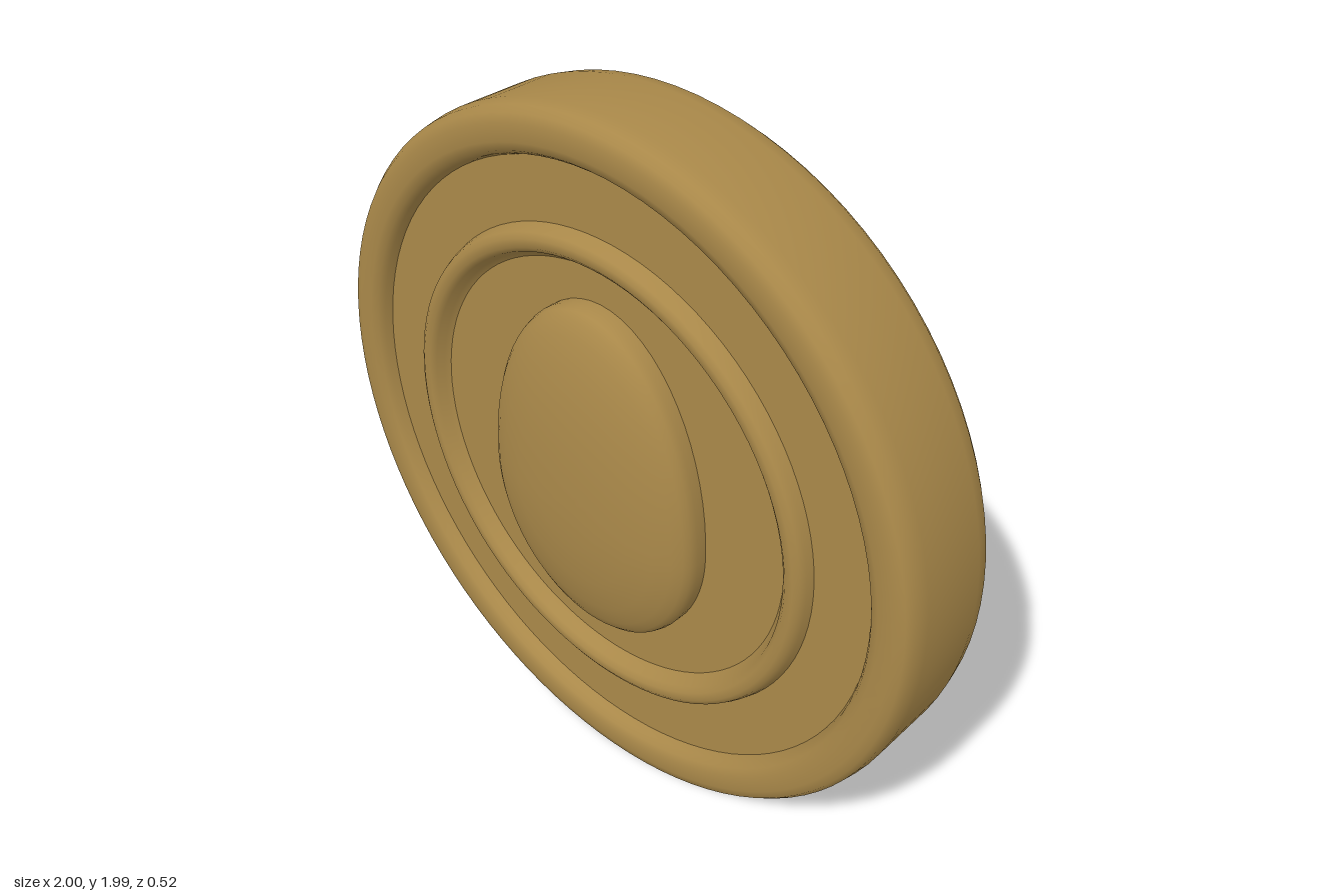
import * as THREE from 'three';
import { toCreasedNormals } from 'three/addons/utils/BufferGeometryUtils.js';

const points = (list) => list.map(([r, z]) => new THREE.Vector2(r, z));

// Disc with a raised rim and a raised inner ring on both faces
function discGeometry() {
  const face = [
    [0, 0.12], [0.605, 0.12], [0.618, 0.132], [0.628, 0.153], [0.642, 0.165],
    [0.665, 0.166], [0.68, 0.157], [0.688, 0.14], [0.694, 0.12],
    [0.862, 0.12], [0.87, 0.14], [0.882, 0.156], [0.905, 0.164],
    [0.95, 0.164], [0.974, 0.157], [0.988, 0.138], [0.995, 0.1],
  ];
  const back = face.map(([r, z]) => [r, -z]);
  const geometry = new THREE.LatheGeometry(points([...back, ...face.reverse()]), 96);
  geometry.rotateX(Math.PI / 2);
  return toCreasedNormals(geometry, 0.7);
}

// Egg-shaped dome: a round dome stretched more upwards than downwards
function eggGeometry() {
  const dome = [
    [1, 0.11], [1, 0.15], [0.985, 0.17], [0.95, 0.185], [0.88, 0.202],
    [0.75, 0.222], [0.55, 0.241], [0.3, 0.253], [0.12, 0.256], [0, 0.257],
  ];
  const geometry = new THREE.LatheGeometry(points(dome), 64);
  geometry.rotateX(Math.PI / 2);
  const p = geometry.attributes.position;
  for (let i = 0; i < p.count; i++) {
    const x = p.getX(i), y = p.getY(i);
    const lift = (1 - Math.hypot(x, y)) * 0.05;
    p.setXY(i, x * 0.36, y * (y > 0 ? 0.595 : 0.405) - 0.08 + lift);
  }
  return toCreasedNormals(geometry, 0.8);
}

export function createModel() {
  const bronze = new THREE.MeshStandardMaterial({ color: 0xa98849 });
  bronze.name = 'bronze';

  const model = new THREE.Group();
  model.name = 'medallion';

  const disc = new THREE.Mesh(discGeometry(), bronze);
  disc.name = 'disc';
  model.add(disc);

  // The same egg on the front and the back
  const egg = eggGeometry();
  ['frontEgg', 'backEgg'].forEach((name, i) => {
    const mesh = new THREE.Mesh(egg, bronze);
    mesh.name = name;
    mesh.rotation.y = i * Math.PI;
    model.add(mesh);
  });

  // Stands on its edge, turned slightly
  model.position.y = 1;
  model.rotation.y = 0.067;
  const root = new THREE.Group();
  root.name = 'coin';
  root.add(model);
  return root;
}
